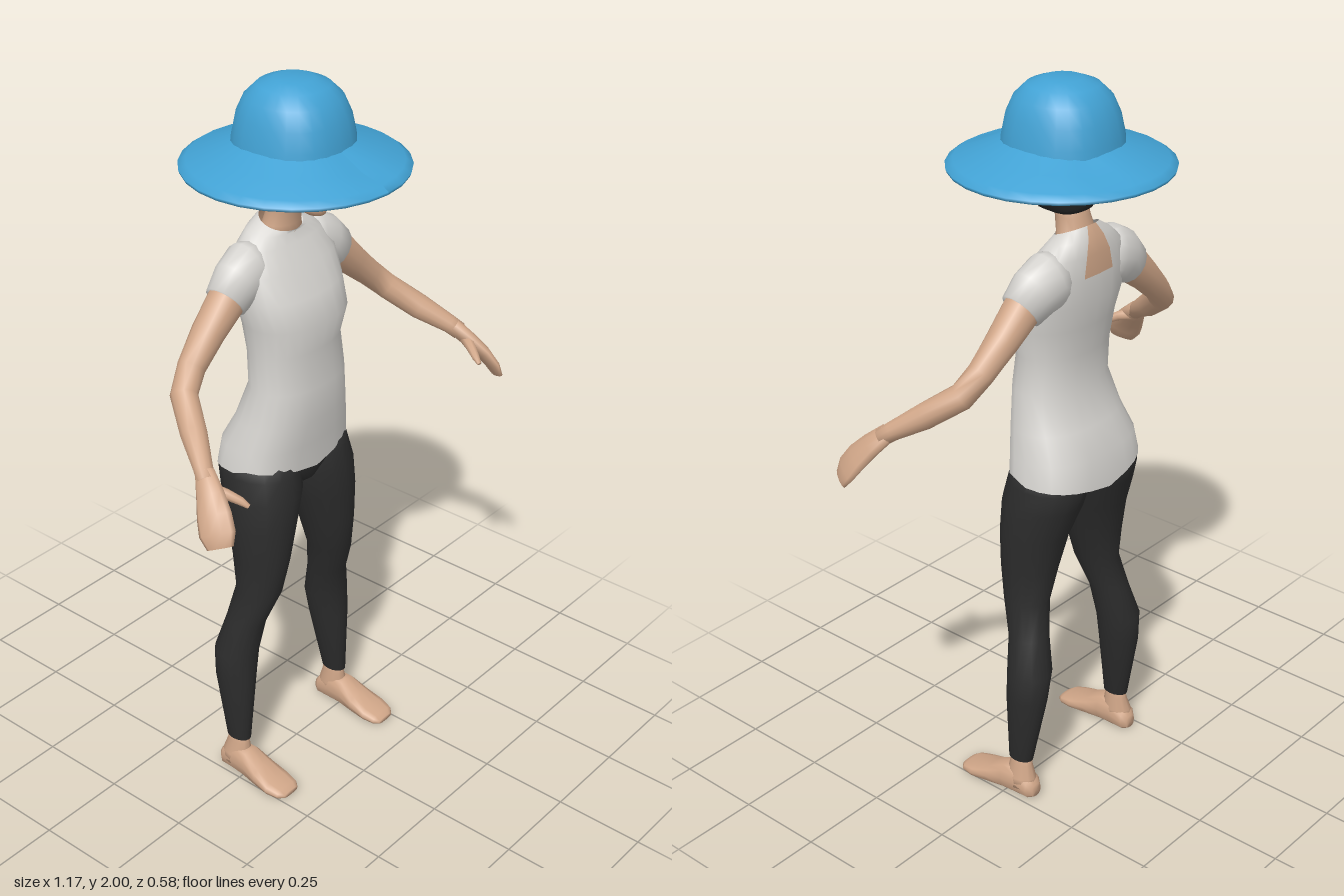
import * as THREE from 'three';

const mat = (name, color) => Object.assign(new THREE.MeshStandardMaterial({ color, side: THREE.DoubleSide }), { name });
const V = (x, y, z) => new THREE.Vector3(x, y, z);
const spow = (t, e) => Math.sign(t) * Math.pow(Math.abs(t), e);

// Skin a closed tube through rings { c, u, v, e }; pick(row, column) returns a material index.
function loft(rings, sides = 16, { start = true, end = true, pick = null } = {}) {
  const pos = [], faces = [[], []];
  for (const { c, u, v, e = 1 } of rings) {
    for (let j = 0; j < sides; j++) {
      const a = (j / sides) * Math.PI * 2;
      const p = c.clone().addScaledVector(u, spow(Math.cos(a), e)).addScaledVector(v, spow(Math.sin(a), e));
      pos.push(p.x, p.y, p.z);
    }
  }
  const axis = rings[1].c.clone().sub(rings[0].c);
  const flip = rings[0].u.clone().cross(rings[0].v).dot(axis) < 0;
  const tri = (k, a, b, c) => faces[k].push(...(flip ? [a, c, b] : [a, b, c]));
  for (let i = 0; i < rings.length - 1; i++) {
    for (let j = 0; j < sides; j++) {
      const k = pick ? pick(i, j) : 0, n = (j + 1) % sides;
      const a = i * sides + j, b = i * sides + n;
      tri(k, a, b, b + sides);
      tri(k, a, b + sides, a + sides);
    }
  }
  const cap = (i, last) => {
    const id = pos.length / 3, base = i * sides;
    pos.push(...rings[i].c.toArray());
    for (let j = 0; j < sides; j++) {
      const a = base + j, b = base + ((j + 1) % sides);
      if (last) tri(0, id, a, b); else tri(0, id, b, a);
    }
  };
  if (start) cap(0, false);
  if (end) cap(rings.length - 1, true);
  const g = new THREE.BufferGeometry();
  g.setAttribute('position', new THREE.Float32BufferAttribute(pos, 3));
  g.setIndex([...faces[0], ...faces[1]]);
  if (pick) {
    g.addGroup(0, faces[0].length, 0);
    g.addGroup(faces[0].length, faces[1].length, 1);
  }
  g.computeVertexNormals();
  return g;
}

// Level rings: [x, y, z, half width, half depth, squareness, front tilt]
const level = (rows, s = 1) => rows.map(([x, y, z, rx, rz, e = 1, tilt = 0]) =>
  ({ c: V(x * s, y, z), u: V(rx, 0, 0), v: V(0, tilt, rz), e }));

// Rings square to a path: [x, y, z, radius along ref, radius across]
function limb(rows, ref, s = 1) {
  const pts = rows.map(r => V(r[0] * s, r[1], r[2]));
  const side = V(ref[0] * s, ref[1], ref[2]);
  return rows.map((r, i) => {
    const t = pts[Math.min(i + 1, pts.length - 1)].clone().sub(pts[Math.max(i - 1, 0)]).normalize();
    const u = side.clone().addScaledVector(t, -side.dot(t)).normalize();
    const v = t.clone().cross(u);
    return { c: pts[i], u: u.multiplyScalar(r[3]), v: v.multiplyScalar(r[4] ?? r[3]) };
  });
}

export function createModel() {
  const model = new THREE.Group();
  const skin = mat('skin', 0xd0a688), shirt = mat('shirt', 0xd6d4d0), leggings = mat('leggings', 0x2c2c2c);
  const hair = mat('hair', 0x252525), blue = mat('hatBlue', 0x42a2d4), lip = mat('lips', 0xb9806c);
  const add = (name, geometry, material, parent = model) => {
    const m = new THREE.Mesh(geometry, material);
    m.name = name;
    parent.add(m);
    return m;
  };

  // Shirt body, with an open keyhole on the upper back and a dipping hem
  const body = loft(level([
    [0, 0.965, -0.05, 0.2, 0.12, 0.75], [0, 1.03, -0.042, 0.19, 0.12, 0.78], [0, 1.1, -0.02, 0.172, 0.108, 0.85],
    [0, 1.2, 0, 0.15, 0.095, 0.9], [0, 1.3, -0.01, 0.145, 0.092, 0.9], [0, 1.38, -0.007, 0.158, 0.108, 0.9],
    [0, 1.45, -0.028, 0.165, 0.1, 0.85], [0, 1.52, -0.045, 0.163, 0.083, 0.8], [0, 1.575, -0.06, 0.14, 0.066, 0.85],
    [0, 1.607, -0.062, 0.1, 0.056, 0.9, -0.008], [0, 1.625, -0.053, 0.063, 0.05, 1, -0.02],
  ]), 24, { start: false, end: false, pick: (i, j) => (i >= 7 && (j === 17 || j === 18) ? 1 : 0) });
  const p = body.attributes.position;
  for (let j = 0; j < 24; j++) {
    const back = p.getZ(j) < -0.05 ? 0.015 : 0;
    p.setY(j, 0.982 - 0.036 * (1 - Math.abs(p.getX(j)) / 0.2) - back);
  }
  body.computeVertexNormals();
  add('shirtBody', body, [shirt, skin]);
  add('pelvis', loft(level([
    [0, 0.86, -0.03, 0.015, 0.03], [0, 0.9, -0.035, 0.06, 0.085], [0, 0.95, -0.045, 0.17, 0.108, 0.8],
    [0, 1.01, -0.045, 0.185, 0.11, 0.8],
  ]), 20), leggings);

  for (const s of [1, -1]) {
    const tag = s > 0 ? 'left' : 'right';

    // Sleeve, arm and hand
    add(tag + 'Sleeve', loft(limb([
      [0.08, 1.525, -0.06, 0.07, 0.055], [0.12, 1.52, -0.06, 0.08, 0.064],
      [0.168, 1.5, -0.056, 0.073, 0.06], [0.212, 1.467, -0.052, 0.06, 0.053],
    ], [0, 1, 0], s), 16), shirt);
    add(tag + 'Arm', loft(limb([
      [0.17, 1.495, -0.052, 0.05, 0.046], [0.212, 1.466, -0.052, 0.054, 0.047], [0.28, 1.408, -0.05, 0.043],
      [0.35, 1.345, -0.042, 0.036], [0.4, 1.295, -0.022, 0.035], [0.45, 1.237, 0.055, 0.034],
      [0.495, 1.19, 0.125, 0.025], [0.51, 1.17, 0.15, 0.024],
    ], [0, 1, 0], s), 12), skin);
    const palm = [-0.05, 0.035, 0.08];
    add(tag + 'Hand', loft(limb([
      [0.5, 1.185, 0.135, 0.025, 0.022], [0.525, 1.145, 0.175, 0.037, 0.02], [0.545, 1.11, 0.205, 0.045, 0.018],
      [0.56, 1.075, 0.228, 0.047, 0.014], [0.567, 1.045, 0.243, 0.034, 0.008],
    ], palm, s), 10), skin);
    add(tag + 'Thumb', loft(limb([
      [0.515, 1.155, 0.165, 0.018], [0.495, 1.145, 0.2, 0.014], [0.478, 1.13, 0.23, 0.011], [0.47, 1.118, 0.249, 0.006],
    ], palm, s), 8), skin);

    // Legging, ankle and foot
    add(tag + 'Leg', loft(level([
      [0.098, 1.0, -0.045, 0.092, 0.1], [0.1, 0.95, -0.045, 0.1, 0.115], [0.106, 0.89, -0.03, 0.105, 0.112],
      [0.122, 0.8, -0.015, 0.092, 0.095], [0.135, 0.7, -0.008, 0.074, 0.082], [0.148, 0.6, -0.007, 0.057, 0.067],
      [0.172, 0.5, -0.034, 0.053, 0.057], [0.192, 0.4, -0.053, 0.06, 0.063], [0.2, 0.32, -0.05, 0.053, 0.06],
      [0.21, 0.115, -0.034, 0.026, 0.038],
    ], s), 16), leggings);
    add(tag + 'Ankle', loft(level([
      [0.209, 0.15, -0.035, 0.022, 0.034], [0.21, 0.1, -0.035, 0.024, 0.035],
      [0.213, 0.06, -0.038, 0.034, 0.045], [0.214, 0.03, -0.04, 0.034, 0.045],
    ], s), 12), skin);
    add(tag + 'Foot', loft([
      [0.211, -0.09, 0.018, 0.006, 0.045], [0.212, -0.075, 0.031, 0, 0.062], [0.213, -0.03, 0.036, 0, 0.085],
      [0.214, 0.01, 0.039, 0, 0.083], [0.215, 0.06, 0.045, 0, 0.056], [0.216, 0.11, 0.05, 0, 0.036],
      [0.215, 0.145, 0.043, 0, 0.026], [0.213, 0.16, 0.028, 0.003, 0.018],
    ].map(([x, z, w, y0, y1]) =>
      ({ c: V(x * s, (y0 + y1) / 2, z), u: V(w, 0, 0), v: V(0, (y1 - y0) / 2, 0), e: 0.75 })), 12), skin);
  }

  // Neck, head and bobbed hair
  const head = new THREE.Group();
  head.name = 'head';
  model.add(head);
  add('neck', loft(level([
    [0, 1.57, -0.055, 0.07, 0.05], [0, 1.62, -0.05, 0.055, 0.044], [0, 1.66, -0.04, 0.047, 0.042],
    [0, 1.74, -0.02, 0.048, 0.045],
  ]), 16), skin, head);
  add('face', loft(level([
    [0, 1.668, 0.058, 0.022, 0.028], [0, 1.683, 0.045, 0.042, 0.045], [0, 1.715, 0.025, 0.062, 0.065],
    [0, 1.76, 0.015, 0.069, 0.073], [0, 1.82, 0.01, 0.07, 0.076], [0, 1.88, 0, 0.055, 0.06],
  ]), 16), skin, head);
  add('hair', loft(level([
    [0, 1.675, -0.04, 0.06, 0.042, 0.85], [0, 1.69, -0.028, 0.088, 0.06, 0.8], [0, 1.73, -0.016, 0.105, 0.074, 0.8],
    [0, 1.78, -0.012, 0.108, 0.08, 0.85], [0, 1.83, -0.01, 0.105, 0.088], [0, 1.9, -0.01, 0.08, 0.08],
  ]), 16), hair, head);
  add('nose', loft(level([
    [0, 1.722, 0.088, 0.014, 0.008], [0, 1.73, 0.09, 0.016, 0.016], [0, 1.775, 0.084, 0.007, 0.008],
  ]), 8), skin, head);
  const mouth = add('mouth', new THREE.SphereGeometry(1, 10, 6), lip, head);
  mouth.scale.set(0.02, 0.006, 0.004);
  mouth.position.set(0, 1.705, 0.087);
  for (const s of [1, -1]) {
    const eye = add(s > 0 ? 'leftEye' : 'rightEye', new THREE.SphereGeometry(1, 8, 6), hair, head);
    eye.scale.set(0.014, 0.005, 0.004);
    eye.position.set(0.031 * s, 1.772, 0.08);
  }

  // Sun hat: rounded, slightly square crown on a wide sloping brim
  const hat = new THREE.Group();
  hat.name = 'hat';
  model.add(hat);
  add('hatCrown', loft(level([
    [0, 1.825, -0.01, 0.148, 0.152, 0.88], [0, 1.86, -0.01, 0.143, 0.148, 0.86], [0, 1.91, -0.01, 0.132, 0.138, 0.85],
    [0, 1.955, -0.01, 0.115, 0.118, 0.86], [0, 1.985, -0.01, 0.086, 0.089, 0.88], [0, 1.999, -0.01, 0.05, 0.05],
  ]), 24, { start: false }), blue, hat);
  const brim = new THREE.LatheGeometry([
    [0.11, 1.815], [0.2, 1.8], [0.27, 1.777], [0.286, 1.775], [0.289, 1.784], [0.27, 1.797], [0.21, 1.82], [0.13, 1.855],
  ].map(([r, y]) => new THREE.Vector2(r, y)), 28);
  const b = brim.attributes.position;
  for (let i = 0; i < b.count; i++) {
    // Two soft creases in the brim, one in front and one behind
    const x = b.getX(i), z = b.getZ(i), a = Math.atan2(x, z);
    const mid = 1 - Math.min(1, Math.abs(Math.hypot(x, z) - 0.2) / 0.08);
    const crease = Math.exp(-(((a + 0.05) / 0.2) ** 2)) + Math.exp(-(((a - 2.7) / 0.2) ** 2));
    b.setY(i, b.getY(i) - 0.012 * mid * crease);
  }
  brim.computeVertexNormals();
  add('hatBrim', brim, blue, hat).position.z = -0.005;
  return model;
}
